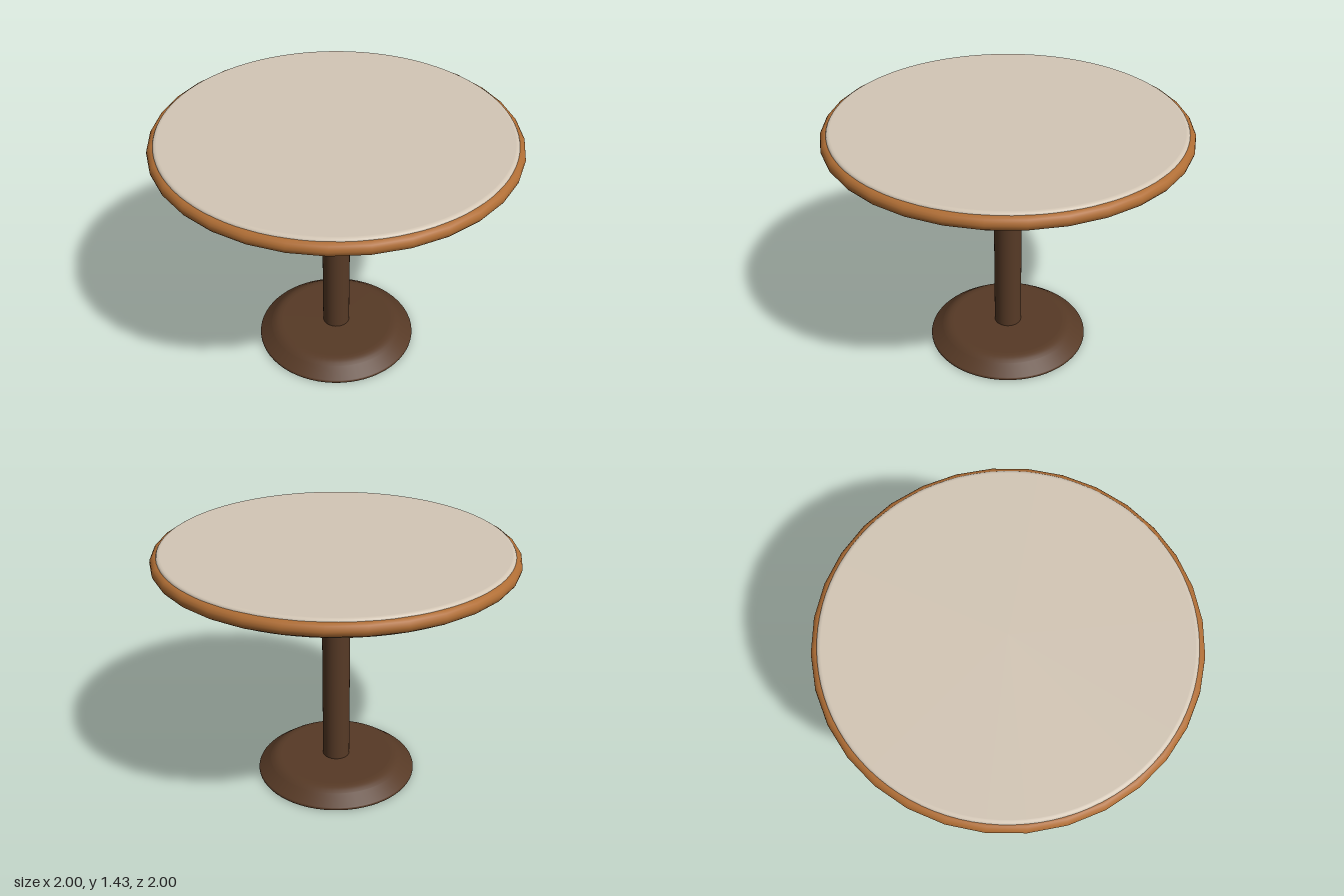
import * as THREE from 'three';

const paint = (name, color) => {
  const m = new THREE.MeshStandardMaterial({ color });
  m.name = name;
  return m;
};

// Closed round solid: rows of [radius, height, bevel] from bottom to top.
// Each corner is softened, with flat faces kept flat up to the bevel.
function turned(name, corners, segments, material) {
  const pts = [new THREE.Vector2(0, corners[0][1])];
  const at = corners.map(([r, y]) => new THREE.Vector2(r, y));
  const all = [pts[0], ...at, new THREE.Vector2(0, corners[corners.length - 1][1])];
  corners.forEach(([, , bevel], i) => {
    const p = all[i + 1];
    const toward = (q, d) => p.clone().add(q.clone().sub(p).setLength(d));
    const a = toward(all[i], bevel), b = toward(all[i + 2], bevel);
    pts.push(toward(all[i], bevel + 0.002));
    pts.push(...new THREE.QuadraticBezierCurve(a, p, b).getPoints(4));
    pts.push(toward(all[i + 2], bevel + 0.002));
  });
  pts.push(all[all.length - 1]);
  const mesh = new THREE.Mesh(new THREE.LatheGeometry(pts, segments), material);
  mesh.name = name;
  return mesh;
}

export function createModel() {
  const group = new THREE.Group();
  group.name = 'pedestalTable';
  const cream = paint('cream top', 0xd4c7b6);
  const wood = paint('warm wood', 0xb06e35);
  const darkWood = paint('dark wood', 0x573a26);

  // Flared foot and column
  group.add(turned('base', [[0.47, 0, 0.006], [0.47, 0.014, 0.006], [0.37, 0.09, 0.035]], 64, darkWood));
  group.add(turned('column', [[0.08, 0.08, 0.014], [0.08, 1.34, 0.01]], 32, darkWood));

  // Round slab with softened edges
  group.add(turned('tabletop', [[0.965, 1.333, 0.02], [0.965, 1.43, 0.02]], 96, cream));

  // Wooden edge band
  const rim = new THREE.Mesh(new THREE.TorusGeometry(0.962, 0.038, 16, 32), wood);
  rim.name = 'edgeBand';
  rim.rotation.x = Math.PI / 2;
  rim.position.y = 1.381;
  group.add(rim);

  return group;
}
